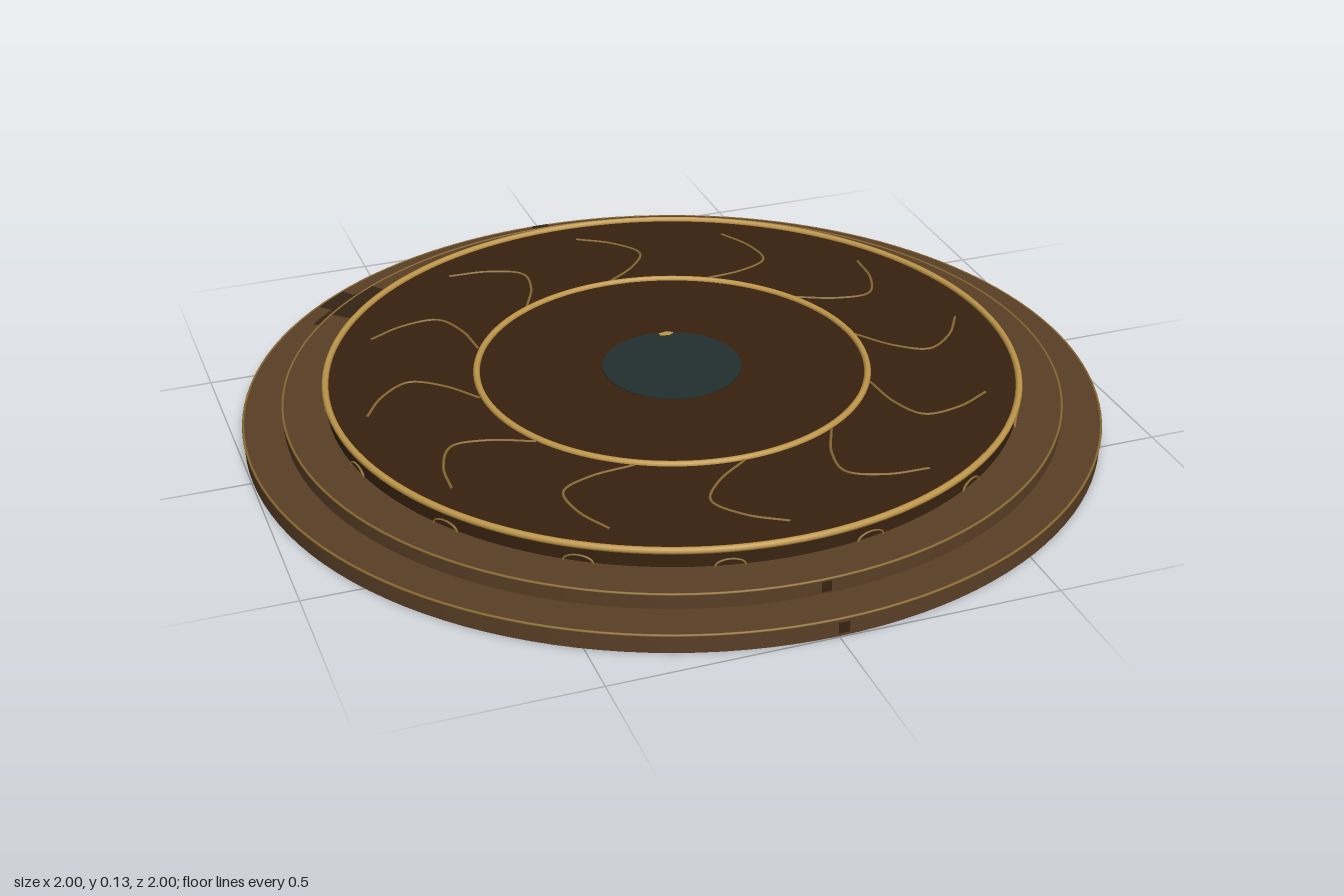
import * as THREE from 'three';

const mat = (name, color) => {
  const m = new THREE.MeshStandardMaterial({ color, side: THREE.DoubleSide });
  m.name = name;
  return m;
};

export function createModel() {
  const group = new THREE.Group();
  const bronze = mat('brown bronze', 0x5a3f26);
  const dark = mat('dark wood', 0x38220f);
  const gold = mat('gold', 0xc0984a);
  const oldGold = mat('aged gold', 0x8a6a32);
  const stain = mat('stain', 0x352413);
  const teal = mat('dark teal', 0x23302f);

  const add = (name, geometry, material, y = 0, parent = group) => {
    const mesh = new THREE.Mesh(geometry, material);
    mesh.name = name;
    mesh.position.y = y;
    parent.add(mesh);
    return mesh;
  };
  const disc = (name, r, y0, y1, material) =>
    add(name, new THREE.CylinderGeometry(r, r, y1 - y0, 128), material, (y0 + y1) / 2);
  const ring = (name, r, tube, y, material) =>
    add(name, new THREE.TorusGeometry(r, tube, 8, 128).rotateX(Math.PI / 2), material, y);

  // Stepped body
  disc('lowerTier', 0.997, 0, 0.044, bronze);
  disc('middleTier', 0.905, 0.044, 0.08, bronze);
  disc('upperTier', 0.805, 0.08, 0.118, dark);
  disc('centreInlay', 0.162, 0.118, 0.121, teal);

  // Metal edging
  ring('lowerEdge', 0.997, 0.003, 0.042, oldGold);
  ring('middleEdge', 0.905, 0.003, 0.079, oldGold);
  ring('upperRim', 0.805, 0.008, 0.12, gold);
  ring('innerRing', 0.456, 0.008, 0.119, gold);

  // Twelve curling inlay lines
  const curl = new THREE.CatmullRomCurve3([
    [0, -0.73], [0.08, -0.675], [0.128, -0.6], [0.085, -0.53], [0, -0.465],
  ].map(([x, z]) => new THREE.Vector3(x, 0.118, z)));
  const curlGeometry = new THREE.TubeGeometry(curl, 32, 0.0035, 6);
  for (let i = 0; i < 12; i++) {
    add('curlInlay', curlGeometry, oldGold).rotation.y = i * Math.PI / 6;
  }

  // Sixteen small arches on the upper riser
  const archGeometry = new THREE.TorusGeometry(0.032, 0.003, 6, 16, Math.PI);
  archGeometry.scale(1, 0.5, 1).translate(0, 0.08, 0.807);
  for (let i = 0; i < 16; i++) {
    add('riserArch', archGeometry, oldGold).rotation.y = (i + 0.5) * Math.PI / 8;
  }

  // Stains: flat sectors on the steps and curved plates on the sides
  // (angle is measured from +x towards -z)
  const stainTop = (angle, width, r0, r1, y) =>
    add('stepStain', new THREE.RingGeometry(r0, r1, 12, 1, angle - width / 2, width)
      .rotateX(-Math.PI / 2), stain, y);
  const stainSide = (angle, width, r, y0, y1) =>
    add('sideStain', new THREE.CylinderGeometry(r, r, y1 - y0, 12, 1, true,
      angle + Math.PI / 2 - width / 2, width), stain, (y0 + y1) / 2);
  const back = 2.31;
  stainTop(back + 0.01, 0.2, 0.82, 0.9, 0.082);
  stainTop(back, 0.22, 0.905, 0.955, 0.046);
  stainTop(back - 0.03, 0.1, 0.955, 0.99, 0.046);
  stainSide(back, 0.16, 0.9995, 0.004, 0.038);
  stainSide(back, 0.18, 0.9075, 0.048, 0.076);
  stainTop(0.4, 0.035, 0.815, 0.85, 0.082);
  stainTop(0.4, 0.035, 0.91, 0.94, 0.046);
  stainSide(0.515, 0.025, 0.9995, 0.008, 0.034);
  stainSide(0.52, 0.025, 0.9075, 0.05, 0.075);
  stainTop(1.59, 0.045, 0.965, 0.995, 0.046);
  stainSide(-Math.PI / 2 + 0.01, 0.025, 0.9995, 0.008, 0.034);
  stainSide(-Math.PI / 2 + 0.01, 0.025, 0.9075, 0.05, 0.075);

  // Gold fleck at the edge of the centre inlay
  const fleck = add('goldFleck', new THREE.CircleGeometry(0.02, 5).rotateX(-Math.PI / 2), gold, 0.123);
  fleck.position.set(0.038, 0.123, -0.148);
  fleck.scale.z = 0.55;

  return group;
}
